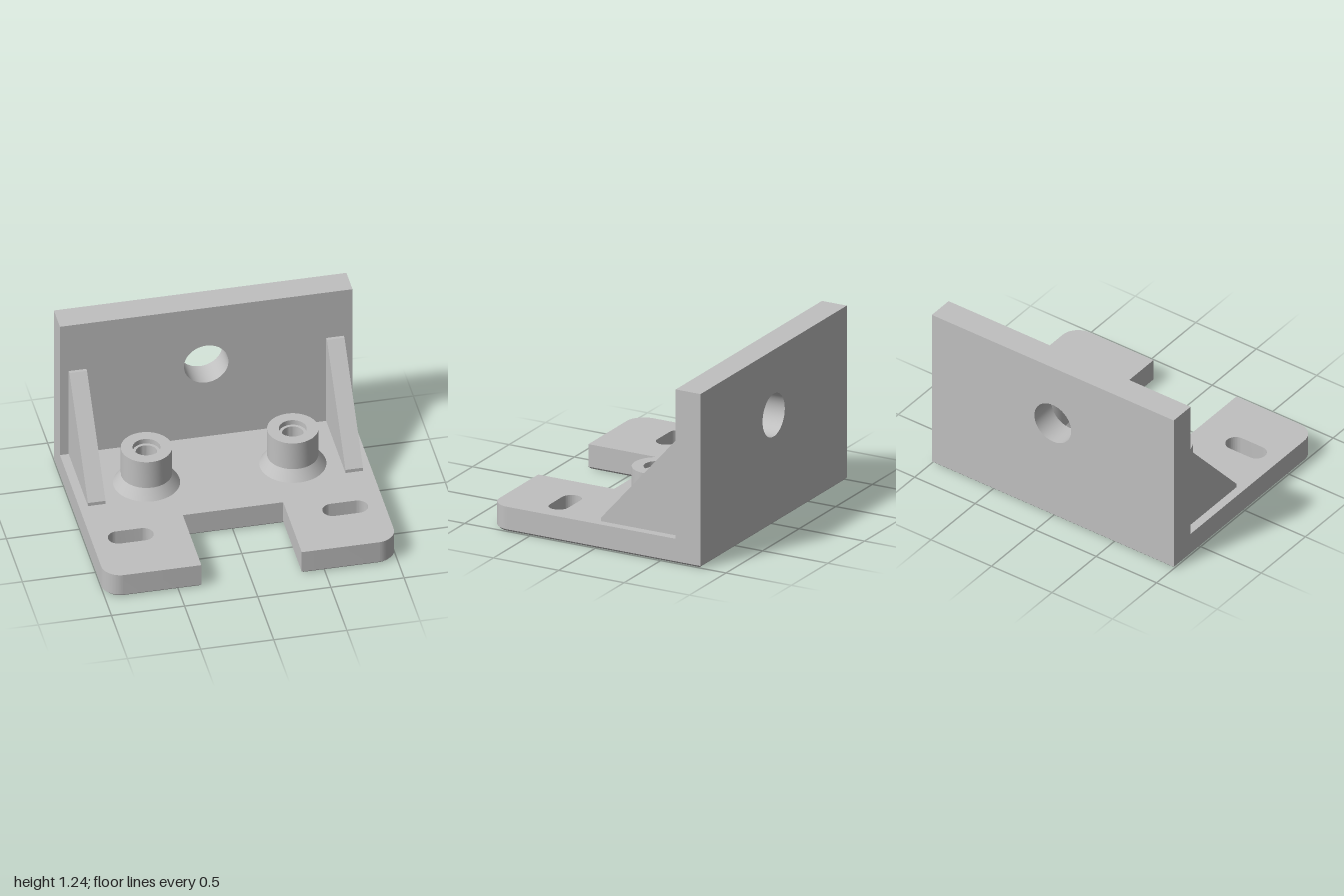
import * as THREE from 'three';
import { toCreasedNormals } from 'three/addons/utils/BufferGeometryUtils.js';

const CHAMFER = 0.015, BASE_TOP = 0.175, CORNER = 0.13, HALF_DEPTH = 0.805;
const clamp = THREE.MathUtils.clamp;

export function createModel() {
  const group = new THREE.Group();
  const metal = new THREE.MeshStandardMaterial({ color: 0xc0c0c0 });
  metal.name = 'grey metal';

  const add = (name, geometry) => {
    const mesh = new THREE.Mesh(toCreasedNormals(geometry, 0.45), metal);
    mesh.name = name;
    group.add(mesh);
    return mesh;
  };

  // Base outline, with shape y = -z: square back, rounded front, open notch
  const D = HALF_DEPTH, R = CORNER;
  const outline = new THREE.Shape();
  outline.moveTo(-1, D);
  outline.lineTo(-1, -D + R);
  outline.absarc(-1 + R, -D + R, R, Math.PI, Math.PI * 1.5, false);
  outline.lineTo(-0.343, -D);
  outline.lineTo(-0.343, -0.225);
  outline.lineTo(0.343, -0.225);
  outline.lineTo(0.343, -D);
  outline.absarc(1 - R, -D + R, R, -Math.PI / 2, 0, false);
  outline.lineTo(1, D);
  outline.closePath();

  // Mounting slots
  for (const s of [-1, 1]) {
    const slot = new THREE.Path();
    slot.absarc(s * 0.733 + 0.085, -0.38, 0.07, -Math.PI / 2, Math.PI / 2, false);
    slot.absarc(s * 0.733 - 0.085, -0.38, 0.07, Math.PI / 2, Math.PI * 1.5, false);
    slot.closePath();
    outline.holes.push(slot);
  }

  // Base plate: the middle ring is lowered and the bottom ring inset for a chamfer
  const base = new THREE.ExtrudeGeometry(outline, {
    depth: BASE_TOP, steps: 2, bevelEnabled: false, curveSegments: 16,
  });
  base.rotateX(-Math.PI / 2);
  const pos = base.attributes.position;
  const shrink = (R - CHAMFER) / R;
  for (let i = 0; i < pos.count; i++) {
    let x = pos.getX(i), y = pos.getY(i), z = pos.getZ(i);
    if (y > 0.01 && y < BASE_TOP - 0.01) {
      pos.setY(i, CHAMFER);
    } else if (y <= 0.01) {
      const cx = clamp(x, -1 + R, 1 - R), cz = clamp(z, -D + R, D - R);
      x = cx + (x - cx) * shrink;
      z = cz + (z - cz) * shrink;
      if (Math.abs(x) < 0.4) {
        x += Math.sign(x) * CHAMFER;
        if (z < 0.3) z -= CHAMFER;
      }
      pos.setXYZ(i, x, 0, z);
    }
  }
  add('basePlate', base);

  // Upright back plate with a round through hole
  const wall = new THREE.Shape();
  wall.moveTo(-1, BASE_TOP);
  wall.lineTo(1, BASE_TOP);
  wall.lineTo(1, 1.235);
  wall.lineTo(-1, 1.235);
  wall.closePath();
  const bore = new THREE.Path();
  bore.absarc(0, 0.772, 0.152, 0, Math.PI * 2, true);
  wall.holes.push(bore);
  const wallGeometry = new THREE.ExtrudeGeometry(wall, {
    depth: 0.19, bevelEnabled: false, curveSegments: 32,
  });
  wallGeometry.translate(0, 0, -D);
  add('backPlate', wallGeometry);

  // Triangular ribs: profile in (-z, y), extruded along x
  const rib = new THREE.Shape([
    [0.01, BASE_TOP], [0.615, BASE_TOP], [0.615, 0.86], [0.592, 0.86], [0.01, 0.2],
  ].map(([x, y]) => new THREE.Vector2(x, y)));
  for (const s of [-1, 1]) {
    const g = new THREE.ExtrudeGeometry(rib, { depth: 0.12, bevelEnabled: false });
    g.rotateY(Math.PI / 2);
    g.translate(s * 0.88 - 0.06, 0, 0);
    add(s > 0 ? 'leftRib' : 'rightRib', g);
  }

  // Bosses with a flared foot and a stepped blind bore
  const profile = [
    [0.225, BASE_TOP], [0.172, 0.25], [0.172, 0.462], [0.093, 0.462],
    [0.093, 0.425], [0.072, 0.425], [0.072, 0.2], [0, 0.2],
  ].map(([x, y]) => new THREE.Vector2(x, y));
  for (const s of [-1, 1]) {
    const boss = add(s > 0 ? 'leftBoss' : 'rightBoss', new THREE.LatheGeometry(profile, 48));
    boss.position.set(s * 0.5, 0, -0.195);
  }

  return group;
}
